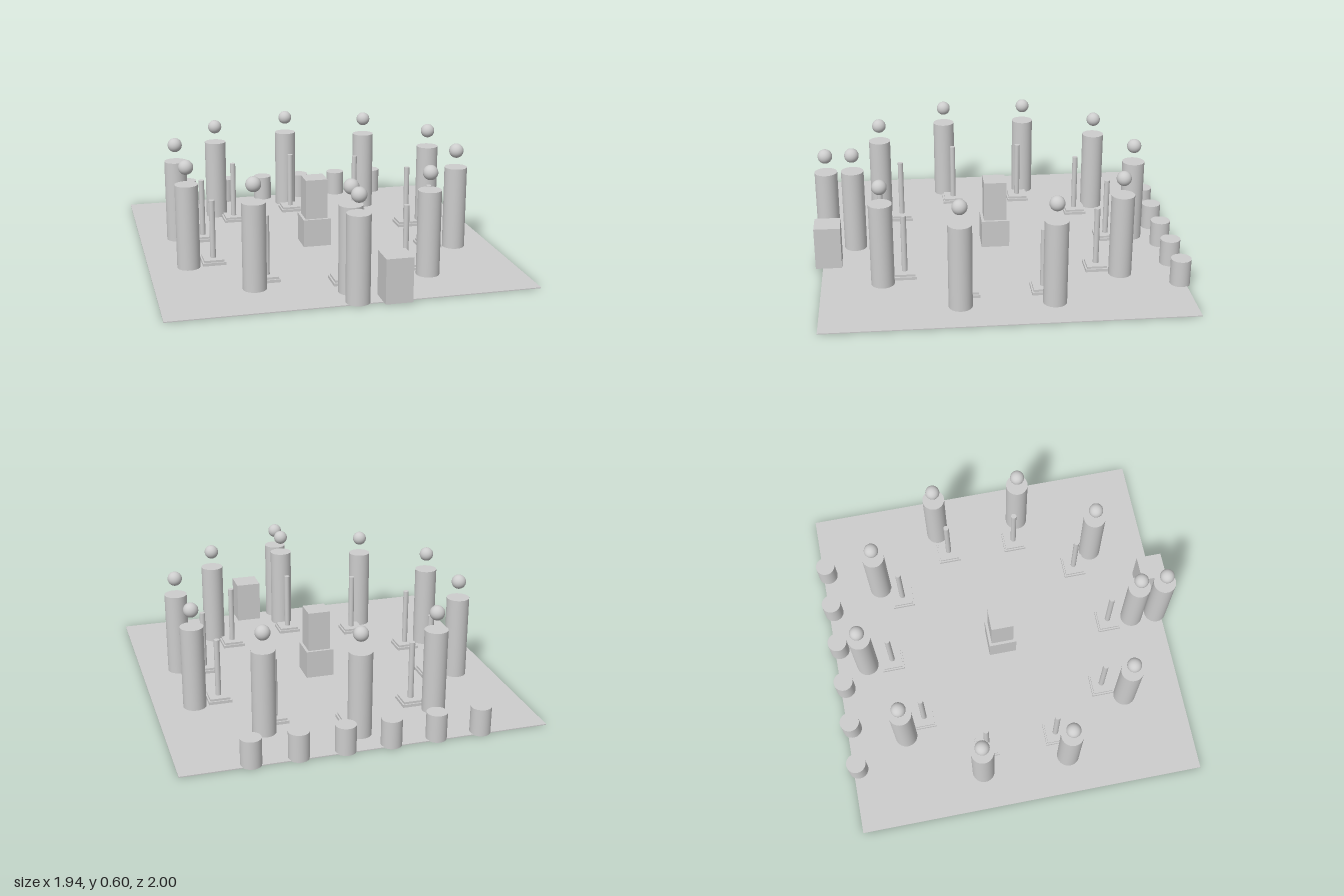
import * as THREE from 'three';

export function createModel() {
  const model = new THREE.Group();
  const grey = new THREE.MeshStandardMaterial({ color: 0xcccccc });
  grey.name = 'light grey';

  const floorTop = 0.005;
  const centreZ = -0.007;

  function add(parent, name, geometry, x, y, z) {
    const mesh = new THREE.Mesh(geometry, grey);
    mesh.name = name;
    mesh.position.set(x, y, z);
    parent.add(mesh);
    return mesh;
  }

  // Geometry standing on y = 0
  const box = (w, h, d) => new THREE.BoxGeometry(w, h, d).translate(0, h / 2, 0);
  const post = (r, h) => new THREE.CylinderGeometry(r, r, h, 32).translate(0, h / 2, 0);

  // Thin square floor
  add(model, 'floor', box(1.936, floorTop, 1.936), 0, 0, centreZ);

  // Standing figure: column body with a floating ball head
  const bodyGeometry = post(0.0625, 0.468 - floorTop);
  const headGeometry = new THREE.SphereGeometry(0.04, 32, 20);
  function addFigure(name, x, z) {
    const figure = new THREE.Group();
    figure.name = name;
    figure.position.set(x, 0, z);
    add(figure, 'body', bodyGeometry, 0, floorTop, 0);
    add(figure, 'head', headGeometry, 0, 0.561, 0);
    model.add(figure);
  }

  // Stand: two-step square base with a slim pole
  const lowerStep = box(0.127, 0.016, 0.127);
  const upperStep = box(0.11, 0.012, 0.11);
  const poleGeometry = post(0.0155, 0.325);
  function addStand(x, z) {
    const stand = new THREE.Group();
    stand.name = 'stand';
    stand.position.set(x, floorTop, z);
    add(stand, 'lowerStep', lowerStep, 0, 0, 0);
    add(stand, 'upperStep', upperStep, 0, 0.016, 0);
    add(stand, 'pole', poleGeometry, 0, 0.027, 0);
    model.add(stand);
  }

  // Ring of ten figures, each behind its own stand
  for (let i = 0; i < 10; i++) {
    const angle = (i * Math.PI) / 5;
    const s = Math.sin(angle);
    const c = Math.cos(angle);
    addFigure('ringFigure', 0.792 * s, centreZ + 0.792 * c);
    addStand(0.646 * s, centreZ + 0.646 * c);
  }

  // Extra figure beside the front block
  addFigure('frontFigure', 0, 0.93);
  add(model, 'frontBlock', box(0.143, 0.242 - floorTop, 0.143), 0.194, floorTop, 0.9285);

  // Central pedestal with a narrower block on top
  add(model, 'pedestal', box(0.157, 0.163 - floorTop, 0.157), 0, floorTop, centreZ);
  add(model, 'pedestalBlock', box(0.126, 0.227, 0.126), 0, 0.163, centreZ);

  // Row of stools along the back edge
  const stoolGeometry = post(0.0545, 0.149);
  for (let i = 0; i < 6; i++) {
    add(model, 'stool', stoolGeometry, (i - 2.5) * 0.242, 0, -0.9455);
  }

  return model;
}
